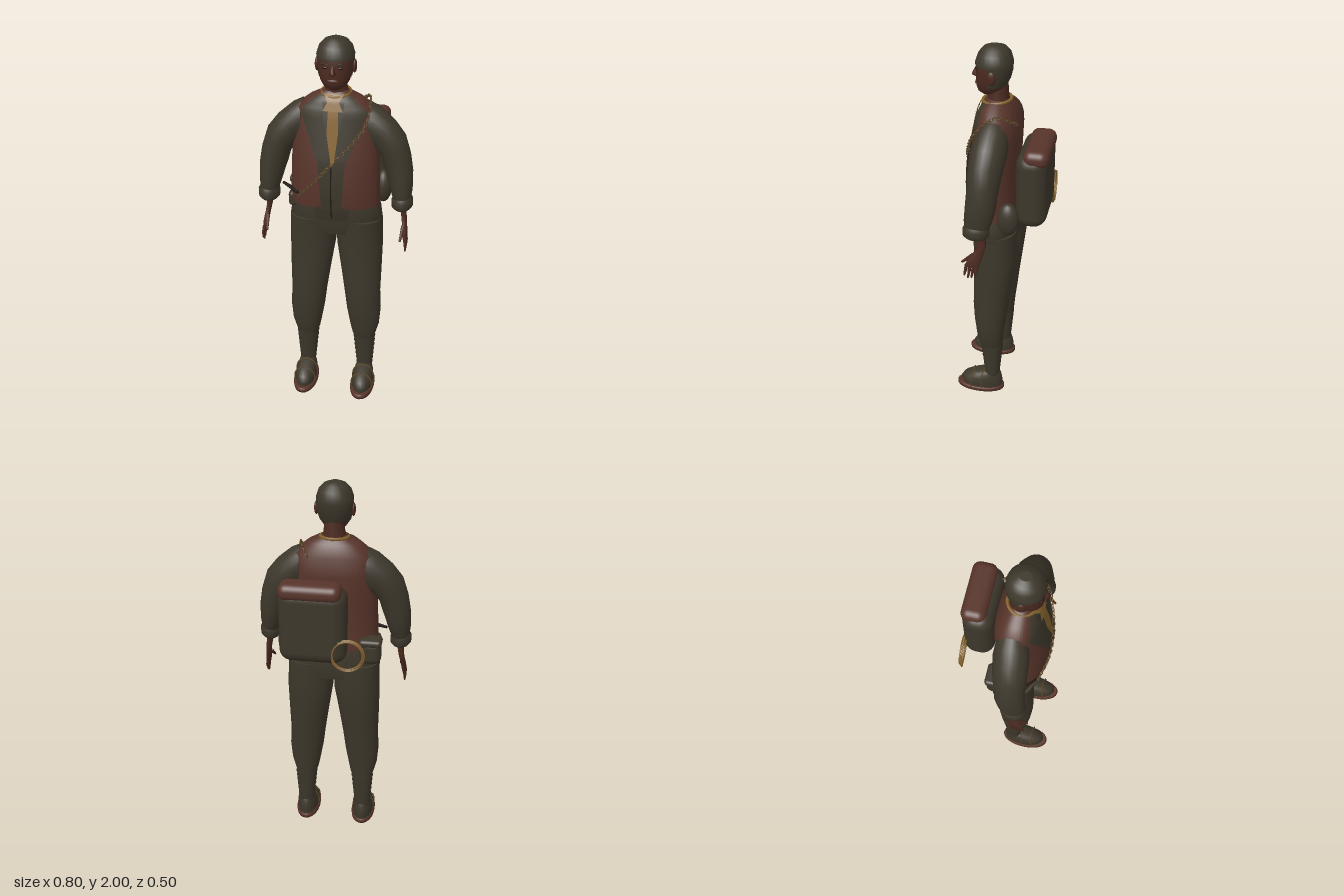
import * as THREE from 'three';
import { RoundedBoxGeometry } from 'three/addons/geometries/RoundedBoxGeometry.js';

const mat = (name, color, side = THREE.FrontSide) => new THREE.MeshStandardMaterial({ name, color, side });
const cloth = mat('dark olive cloth', 0x3d372b, THREE.DoubleSide);
const leather = mat('red brown leather', 0x57342a, THREE.DoubleSide);
const skin = mat('brown skin', 0x4b2a20);
const gold = mat('ochre fabric', 0x85622c, THREE.DoubleSide);
const brass = mat('dull brass', 0x5a4526);
const dark = mat('dark eyes', 0x1c1512);

const V = (x, y, z) => new THREE.Vector3(x, y, z);
function add(parent, name, geo, material, pos = [0, 0, 0], scale = [1, 1, 1]) {
  const m = new THREE.Mesh(geo, material);
  m.name = name;
  m.position.set(...pos);
  m.scale.set(...scale);
  parent.add(m);
  return m;
}

// Cross-section rows: outer x, outer y, inner x, inner y, front z, back z (listed from the top down)
const flat = (o, y, i, zf, zb) => [o, y, i, y, zf, zb];
const sym = ([r, y, zf, zb]) => flat(r, y, -r, zf, zb);
const mirrored = ([ox, oy, ix, iy, zf, zb]) => [-ix, iy, -ox, oy, zf, zb];
const sided = (rows, s) => (s > 0 ? rows : rows.map(mirrored));

// Skins a stack of superellipse rings; an arc leaves the surface open
function loft(rows, n = 2, seg = 24, arc = null) {
  const pos = [], idx = [], cols = arc ? seg + 1 : seg;
  const [a0, a1] = arc || [0, Math.PI * 2];
  const bend = (c) => Math.sign(c) * Math.abs(c) ** (2 / n);
  const ring = ([ox, oy, ix, iy, zf, zb]) => {
    for (let j = 0; j < cols; j++) {
      const a = a0 + ((a1 - a0) * j) / seg, c = bend(Math.cos(a)), s = bend(Math.sin(a));
      pos.push((ox + ix) / 2 + (c * (ox - ix)) / 2, (oy + iy) / 2 + (c * (oy - iy)) / 2, (zf + zb) / 2 + (s * (zf - zb)) / 2);
    }
  };
  rows.forEach(ring);
  for (let i = 0; i < rows.length - 1; i++) {
    for (let j = 0; j < seg; j++) {
      const k = (j + 1) % cols, p = i * cols, q = p + cols;
      idx.push(p + j, p + k, q + j, p + k, q + k, q + j);
    }
  }
  if (!arc) {
    [rows[0], rows[rows.length - 1]].forEach((r, end) => {
      const base = pos.length / 3;
      ring(r);
      pos.push((r[0] + r[2]) / 2, (r[1] + r[3]) / 2, (r[4] + r[5]) / 2);
      for (let j = 0; j < seg; j++) {
        const k = (j + 1) % seg;
        idx.push(base + seg, base + (end ? j : k), base + (end ? k : j));
      }
    });
  }
  return surface(pos, idx);
}
function surface(pos, idx) {
  const g = new THREE.BufferGeometry();
  g.setAttribute('position', new THREE.Float32BufferAttribute(pos, 3));
  g.setIndex(idx);
  g.computeVertexNormals();
  return g;
}

// Torso profile: half width, y, front z, back z
const TORSO = [[0.06, 1.74, 0.09, 0], [0.13, 1.705, 0.115, -0.03], [0.2, 1.65, 0.135, -0.065], [0.215, 1.55, 0.155, -0.077],
  [0.22, 1.4, 0.185, -0.07], [0.225, 1.25, 0.195, -0.07], [0.228, 1.15, 0.185, -0.075], [0.228, 1.08, 0.168, -0.075]];
const BULGE = 2.3;
function torsoZ(x, y) {
  let i = 0;
  while (i < TORSO.length - 2 && y < TORSO[i + 1][1]) i++;
  const [A, B] = [TORSO[i], TORSO[i + 1]];
  const t = THREE.MathUtils.clamp((A[1] - y) / (A[1] - B[1]), 0, 1);
  const [r, , f, b] = A.map((v, k) => v + (B[k] - v) * t);
  const u = Math.min(1, Math.abs(x) / r);
  return (f + b) / 2 + ((f - b) / 2) * (1 - u ** BULGE) ** (1 / BULGE);
}
// Thin cloth panel lying on the chest; rows are y, x start, x end
function panel(rows, lift, cols = 10) {
  const pos = [], idx = [], w = cols + 1, fine = [];
  rows.forEach((r, i) => {
    if (i) for (let k = 1; k <= 4; k++) fine.push(r.map((v, j) => rows[i - 1][j] + ((v - rows[i - 1][j]) * k) / 4));
    else fine.push(r);
  });
  fine.forEach(([y, x0, x1], i) => {
    for (let j = 0; j < w; j++) {
      const x = x0 + ((x1 - x0) * j) / cols;
      pos.push(x, y, torsoZ(x, y) + lift);
      if (i && j) {
        const d = i * w + j;
        idx.push(d - w - 1, d - 1, d - w, d - w, d - 1, d);
      }
    }
  });
  return surface(pos, idx);
}
// Tapered rod between two points
function rod(parent, name, p, q, r0, r1, material) {
  const d = q.clone().sub(p);
  const m = add(parent, name, new THREE.CylinderGeometry(r1, r0, d.length(), 8), material, p.clone().add(q).multiplyScalar(0.5).toArray());
  m.quaternion.setFromUnitVectors(V(0, 1, 0), d.normalize());
}
const ball = new THREE.SphereGeometry(1, 20, 14);

function buildHead(g) {
  const rows = [[0.02, 1.996, 0.08, 0.03], [0.052, 1.984, 0.108, 0], [0.076, 1.958, 0.13, -0.02], [0.088, 1.92, 0.144, -0.029],
    [0.088, 1.88, 0.146, -0.028], [0.083, 1.84, 0.147, -0.018], [0.071, 1.8, 0.146, 0], [0.055, 1.775, 0.138, 0.025], [0.03, 1.757, 0.118, 0.05]];
  add(g, 'head', loft(rows.map(sym), 2.1), skin);
  add(g, 'neck', loft([[0.052, 1.82, 0.095, -0.008], [0.053, 1.76, 0.09, -0.012], [0.07, 1.68, 0.1, -0.02]].map(sym)), skin);
  // Cropped hair: a full crown, then only the back and sides
  const grow = ([r, y, f, b]) => sym([r + 0.004, y + 0.004, f + 0.004, b - 0.004]);
  const line = [0.0875, 1.903, 0.145, -0.0285];
  add(g, 'hairCrown', loft([...rows.slice(0, 4), line].map(grow), 2.1), cloth);
  add(g, 'hairBack', loft([line, rows[4], rows[5], [0.073, 1.805, 0.145, -0.002]].map(grow), 2.1, 20, [Math.PI - 0.12, Math.PI * 2 + 0.12]), cloth);
  add(g, 'nose', loft([[0.008, 1.886, 0.15, 0.12], [0.011, 1.862, 0.163, 0.12], [0.019, 1.846, 0.169, 0.12], [0.012, 1.837, 0.155, 0.12]].map(sym), 2, 12), skin);
  add(g, 'lips', ball, leather, [0, 1.811, 0.143], [0.027, 0.009, 0.009]);
  for (const s of [-1, 1]) {
    add(g, 'ear', ball, skin, [s * 0.091, 1.865, 0.055], [0.011, 0.034, 0.021]);
    add(g, 'eye', ball, dark, [s * 0.035, 1.874, 0.138], [0.014, 0.006, 0.005]);
    add(g, 'eyebrow', ball, dark, [s * 0.036, 1.892, 0.139], [0.02, 0.004, 0.005]);
  }
}

function buildTorso(g) {
  add(g, 'vest', loft(TORSO.slice(0, 7).map(sym), BULGE, 40), leather);
  add(g, 'shirtFront', panel([[1.725, -0.07, 0.07], [1.69, -0.1, 0.1], [1.4, -0.04, 0.04], [1.17, -0.05, 0.05], [1.155, -0.09, 0.09], [1.08, -0.08, 0.08]], 0.005), cloth);
  for (const s of [-1, 1]) {
    add(g, 'lapel', panel([[1.72, 0.055, 0.085], [1.65, 0.05, 0.165], [1.53, 0.03, 0.12], [1.4, 0.012, 0.068], [1.15, 0.006, 0.05]]
      .map(([y, a, b]) => (s > 0 ? [y, a, b] : [y, -b, -a])), 0.009), cloth);
  }
  add(g, 'frontSeam', panel([[1.4, -0.003, 0.003], [1.1, -0.003, 0.003]], 0.011, 2), dark);
  add(g, 'scarfKnot', panel([[1.735, -0.05, 0.05], [1.7, -0.028, 0.028], [1.66, -0.05, 0.05]], 0.016), gold);
  add(g, 'scarfTail', panel([[1.69, -0.022, 0.026], [1.55, -0.026, 0.03], [1.4, 0, 0.014]], 0.014), gold);
  const neckCord = add(g, 'neckCord', new THREE.TorusGeometry(0.07, 0.008, 8, 32), gold, [0, 1.728, 0.045]);
  neckCord.rotation.x = Math.PI / 2 + 0.1;
  // Chain of links from the left shoulder to the right hip
  const path = [V(0.12, 1.66, -0.07), V(0.165, 1.7, 0.02)];
  for (const [x, y] of [[0.16, 1.6], [0.09, 1.5], [0.01, 1.41], [-0.08, 1.31], [-0.17, 1.21]]) path.push(V(x, y, torsoZ(x, y) + 0.014));
  const curve = new THREE.CatmullRomCurve3(path);
  const link = new THREE.TorusGeometry(0.009, 0.003, 5, 10);
  for (let i = 0; i <= 42; i++) {
    const m = add(g, 'chainLink', link, brass, curve.getPointAt(i / 42).toArray(), [1.2, 0.8, 1]);
    m.quaternion.setFromUnitVectors(V(1, 0, 0), curve.getTangentAt(i / 42));
    m.rotateX(i % 2 ? 0.9 : 0);
  }
}

function buildArm(g, s) {
  const sleeve = [[0.17, 1.68, 0.16, 1.46, 0.115, -0.045], [0.22, 1.655, 0.2, 1.44, 0.125, -0.048], [0.29, 1.595, 0.232, 1.4, 0.13, -0.04],
    [0.345, 1.525, 0.245, 1.35, 0.13, -0.03], [0.375, 1.43, 0.262, 1.3, 0.13, -0.02], [0.39, 1.34, 0.275, 1.255, 0.135, -0.015],
    [0.392, 1.25, 0.288, 1.215, 0.14, 0], [0.385, 1.185, 0.298, 1.185, 0.135, 0.02]];
  const cuff = [[0.385, 1.215, 0.295, 1.205, 0.135, 0.02], [0.398, 1.195, 0.288, 1.185, 0.147, 0.012], [0.397, 1.16, 0.29, 1.155, 0.147, 0.015], [0.385, 1.145, 0.302, 1.142, 0.135, 0.025]];
  const hand = [flat(0.362, 1.17, 0.322, 0.085, 0.03), flat(0.366, 1.09, 0.337, 0.075, 0.03), flat(0.37, 1.055, 0.344, 0.095, 0.04),
    flat(0.376, 1.015, 0.35, 0.125, 0.052), flat(0.378, 0.985, 0.354, 0.132, 0.062), flat(0.374, 0.975, 0.358, 0.128, 0.068)];
  add(g, 'sleeve', loft(sided(sleeve, s)), cloth);
  add(g, 'cuff', loft(sided(cuff, s)), cloth);
  add(g, 'forearmAndPalm', loft(sided(hand, s), 2, 14), skin);
  for (let i = 0; i < 4; i++) {
    const z = 0.072 + i * 0.018, drop = [0.05, 0.066, 0.07, 0.055][i];
    const mid = V(s * 0.372, 0.985 - drop * 0.55, z + 0.006), tip = V(s * 0.371, 0.98 - drop, z + 0.012);
    rod(g, 'fingerBase', V(s * 0.366, 0.99, z), mid, 0.009, 0.008, skin);
    rod(g, 'fingerTip', mid, tip, 0.008, 0.004, skin);
  }
  rod(g, 'thumb', V(s * 0.355, 1.04, 0.095), V(s * 0.345, 0.985, 0.155), 0.012, 0.006, skin);
}

function buildLeg(g, s) {
  const leg = [flat(0.24, 1.06, 0, 0.15, -0.08), flat(0.245, 0.9, 0.004, 0.14, -0.082), flat(0.243, 0.75, 0.028, 0.145, -0.062),
    flat(0.24, 0.6, 0.05, 0.147, -0.042), flat(0.246, 0.5, 0.062, 0.14, -0.03), flat(0.238, 0.4, 0.08, 0.128, -0.017), flat(0.222, 0.34, 0.092, 0.115, -0.012)];
  // Wrapped shin bands
  for (let i = 0; i <= 14; i++) {
    const t = i / 14, b = i % 2 ? 0.003 : -0.002;
    leg.push(flat(0.217 - 0.014 * t + b, 0.32 - 0.21 * t, 0.1 + 0.02 * t - b, 0.107 - 0.024 * t + b, -0.01 + 0.02 * t - b));
  }
  add(g, 'trouserLeg', loft(sided(leg, s), 2.2), cloth);
  const shoe = [flat(0.198, 0.128, 0.122, 0.095, 0.01), flat(0.207, 0.11, 0.115, 0.16, 0), flat(0.216, 0.085, 0.106, 0.208, -0.006),
    flat(0.22, 0.055, 0.102, 0.228, -0.01), flat(0.217, 0.026, 0.105, 0.22, -0.008)];
  const sole = [flat(0.222, 0.032, 0.1, 0.242, -0.014), flat(0.228, 0.024, 0.094, 0.25, -0.02), flat(0.226, 0.008, 0.096, 0.248, -0.018), flat(0.212, 0, 0.11, 0.225, -0.005)];
  add(g, 'shoe', loft(sided(shoe, s), 2.1), cloth);
  add(g, 'sandalSole', loft(sided(sole, s), 2.1), leather);
  for (const z of [0.1, 0.16]) {
    const h = z < 0.13 ? 0.131 : 0.113;
    const arch = new THREE.CatmullRomCurve3([V(s * 0.102, 0.026, z), V(s * 0.112, h - 0.025, z), V(s * 0.161, h, z - 0.01), V(s * 0.21, h - 0.025, z), V(s * 0.22, 0.026, z)]);
    add(g, 'sandalStrap', new THREE.TubeGeometry(arch, 16, 0.004, 6), brass);
  }
}

function buildGear(g) {
  add(g, 'backpack', new RoundedBoxGeometry(0.34, 0.4, 0.155, 5, 0.065), cloth, [0.075, 1.345, -0.163]);
  add(g, 'packLid', new RoundedBoxGeometry(0.31, 0.088, 0.125, 5, 0.04), leather, [0.085, 1.527, -0.184]);
  add(g, 'leftPouch', ball, cloth, [0.23, 1.19, -0.055], [0.045, 0.09, 0.055]);
  add(g, 'rightPouch', new RoundedBoxGeometry(0.11, 0.13, 0.085, 4, 0.035), cloth, [-0.2, 1.15, -0.045]);
  add(g, 'rightPouchFlap', new RoundedBoxGeometry(0.116, 0.04, 0.092, 4, 0.018), cloth, [-0.2, 1.205, -0.045]);
  rod(g, 'knifeHandle', V(-0.17, 1.215, 0.15), V(-0.268, 1.23, 0.08), 0.013, 0.007, dark);
  add(g, 'beltPocket', new RoundedBoxGeometry(0.06, 0.08, 0.06, 3, 0.02), cloth, [-0.21, 1.15, 0.08]);
  // Coil of rope hung beside the pack
  for (let i = 0; i < 3; i++) {
    const coil = add(g, 'ropeCoil', new THREE.TorusGeometry(0.075 + i * 0.004, 0.004, 6, 32), gold, [-0.105, 1.215 - i * 0.003, -0.237 + i * 0.006]);
    coil.rotation.set(0.04 * i, 0.05, i);
  }
  rod(g, 'ropeHanger', V(-0.06, 1.28, -0.232), V(-0.02, 1.31, -0.215), 0.005, 0.005, gold);
}

export function createModel() {
  const root = new THREE.Group();
  root.name = 'traveller';
  const group = (name, build, ...args) => {
    const g = new THREE.Group();
    g.name = name;
    root.add(g);
    build(g, ...args);
  };
  group('head', buildHead);
  group('torso', buildTorso);
  group('hips', (g) => add(g, 'trouserTop', loft([[0.215, 1.19, 0.15, -0.065], [0.232, 1.12, 0.155, -0.077], [0.242, 1.04, 0.15, -0.08], [0.2, 0.98, 0.135, -0.07]].map(sym), 2.3, 32), cloth));
  for (const [side, s] of [['left', 1], ['right', -1]]) {
    group(side + 'Arm', buildArm, s);
    group(side + 'Leg', buildLeg, s);
  }
  group('gear', buildGear);
  return root;
}
